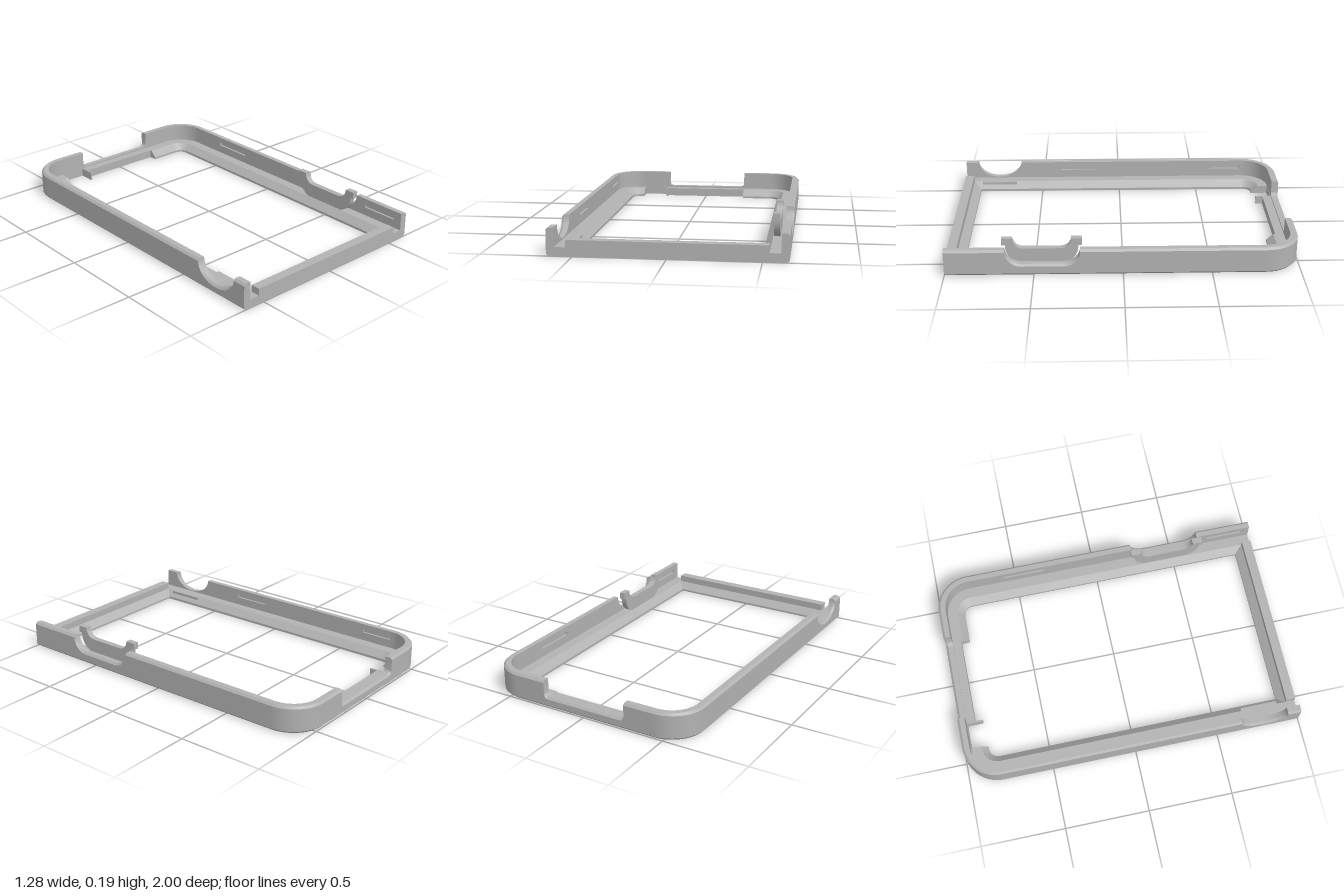
import * as THREE from 'three';
import { toCreasedNormals } from 'three/addons/utils/BufferGeometryUtils.js';

const W = 0.64, R = 0.2, TOP = 0.155, EPS = 1e-4;
const inside = (v, a, b) => v > a && v < b;

// Height of a U-shaped cut with rounded lower corners
function uCut(v, a, b, bottom, r, top) {
  if (!inside(v, a, b)) return top;
  const d = Math.min(v - a, b - v);
  return d >= r ? bottom : Math.min(top, bottom + r - Math.sqrt(r * r - (r - d) ** 2));
}

// Cross-section values: wall height h, ledge end f, bevel end e, slot depth g
function leftSide(z) {
  const slot = inside(z, -0.57, -0.32) || inside(z, 0.73, 0.95);
  return { h: uCut(z, 0.24, 0.66, 0.067, 0.09, TOP), f: 0.105, e: 0.145, g: slot ? 0.03 : 0.043 };
}
function rightSide(z) {
  const slot = inside(z, 0.15, 0.38) || inside(z, -0.79, -0.6);
  const u = (z - 0.78) / 0.14;
  const h = Math.abs(u) < 1 ? TOP - 0.1 * Math.sqrt(1 - u * u) : TOP;
  return { h, f: 0.105, e: 0.145, g: slot ? 0.03 : 0.043 };
}
function backSide(x) {
  const s = { h: uCut(x, -0.26, 0.26, 0.06, 0.025, TOP), f: 0.105, e: 0.145, g: 0.043 };
  if (inside(x, -0.26, 0.26)) s.f = s.e = 0.095;
  if (inside(x, -0.425, -0.26)) s.f = s.e = 0.045;
  return s;
}

// Closed profile as [distance inward, height]
function profile({ h, f, e, g }) {
  const c = 0.012, w = 0.043;
  return [[c, 0], [0, c], [0, h - c], [c, h], [w, h], [w, 0.12], [g, 0.12], [g, 0.1], [w, 0.1],
    [w, 0.05], [f, 0.05], [e, f === e ? 0.05 : 0.012], [e, 0]].map(([d, y]) => [d, Math.min(y, h)]);
}

// Sorted sample positions, doubled at every break so steps stay sharp
function samples(breaks, curves) {
  const out = [];
  breaks.forEach((b) => out.push(b - EPS, b + EPS));
  curves.forEach(([a, b]) => {
    for (let i = 1; i < 24; i++) out.push((a + b) / 2 - (b - a) / 2 * Math.cos(Math.PI * i / 24));
  });
  return out.sort((a, b) => a - b);
}

function frameGeometry() {
  const rings = [];
  const add = (x, z, nx, nz, s) =>
    rings.push(profile(s).map(([d, y]) => [x + nx * d, y, z + nz * d]));
  const corner = (side, a0) => {
    for (let i = 0; i <= 14; i++) {
      const a = a0 + Math.PI / 2 * i / 14, cx = Math.cos(a), cz = -Math.sin(a);
      add(side * (W - R) + R * cx, -1 + R + R * cz, -cx, -cz, { h: TOP, f: 0.105, e: 0.145, g: 0.043 });
    }
  };
  // Left arm, back and right arm joined by rounded corners
  const left = samples([-0.57, -0.32, 0.24, 0.66, 0.73, 0.95], [[0.24, 0.66]]).reverse();
  [1, ...left].forEach((z) => add(W, z, -1, 0, leftSide(z)));
  corner(1, 0);
  samples([-0.425, -0.26, 0.26], [[-0.26, 0.26], [-0.26, -0.21], [0.21, 0.26]]).reverse()
    .forEach((x) => add(x, -1, 0, 1, backSide(x)));
  corner(-1, Math.PI / 2);
  const right = samples([-0.79, -0.6, 0.15, 0.38, 0.64, 0.92], [[0.64, 0.92]]);
  [...right, 1].forEach((z) => add(-W, z, 1, 0, rightSide(z)));

  const pos = [], n = rings[0].length;
  for (let i = 0; i < rings.length - 1; i++) {
    for (let j = 0; j < n; j++) {
      const a = rings[i][j], b = rings[i][(j + 1) % n];
      const c = rings[i + 1][j], d = rings[i + 1][(j + 1) % n];
      pos.push(...a, ...c, ...b, ...c, ...d, ...b);
    }
  }
  // Flat front ends
  [rings[0], rings[rings.length - 1]].forEach((ring) => {
    const pts = ring.map((p) => new THREE.Vector2(p[0], p[1]));
    THREE.ShapeUtils.triangulateShape(pts, []).forEach((t) => {
      const [a, b, c] = t.map((k) => pts[k]);
      const ccw = (b.x - a.x) * (c.y - a.y) - (b.y - a.y) * (c.x - a.x) > 0;
      (ccw ? t : [t[0], t[2], t[1]]).forEach((k) => pos.push(...ring[k]));
    });
  });
  const geo = new THREE.BufferGeometry();
  geo.setAttribute('position', new THREE.Float32BufferAttribute(pos, 3));
  return toCreasedNormals(geo, 0.4);
}

// Extrudes a (z, y) outline along x, from x0 to x1
function sideExtrude(shape, x0, x1) {
  const geo = new THREE.ExtrudeGeometry(shape, { depth: x1 - x0, bevelEnabled: false, curveSegments: 10 });
  geo.rotateY(-Math.PI / 2); // shape x -> z, depth -> -x
  geo.translate(x1, 0, 0);
  return toCreasedNormals(geo, 0.4);
}

export function createModel() {
  const group = new THREE.Group();
  const grey = new THREE.MeshStandardMaterial({ color: 0xb2b2b2, side: THREE.DoubleSide });
  grey.name = 'grey plastic';
  const add = (name, geo, x = 0, y = 0, z = 0) => {
    const mesh = new THREE.Mesh(geo, grey);
    mesh.name = name;
    mesh.position.set(x, y, z);
    group.add(mesh);
  };

  add('frame', frameGeometry());

  // Front crossbar with a bevelled inner foot
  const bar = new THREE.Shape([[1, 0], [1, 0.09], [0.945, 0.09], [0.945, 0.05], [0.9, 0.012], [0.9, 0]]
    .map(([z, y]) => new THREE.Vector2(z, y)));
  add('frontBar', sideExtrude(bar, -0.535, 0.535));

  // Upright guard plate with a U-shaped dip, behind the left cutout
  const guard = new THREE.Shape();
  guard.moveTo(0.33, 0.045);
  guard.lineTo(0.57, 0.045);
  guard.quadraticCurveTo(0.66, 0.07, 0.66, 0.155);
  guard.lineTo(0.68, 0.155);
  guard.lineTo(0.68, 0.195);
  guard.lineTo(0.62, 0.195);
  guard.absarc(0.56, 0.195, 0.06, 0, -Math.PI / 2, true);
  guard.lineTo(0.35, 0.135);
  guard.absarc(0.35, 0.195, 0.06, -Math.PI / 2, -Math.PI, true);
  guard.lineTo(0.23, 0.195);
  guard.lineTo(0.23, 0.155);
  guard.lineTo(0.25, 0.155);
  guard.quadraticCurveTo(0.25, 0.07, 0.33, 0.045);
  add('guardPlate', sideExtrude(guard, 0.54, 0.575));

  // Ledge extension by the right cutout and a small fin at the back
  add('ledgePad', new THREE.BoxGeometry(0.025, 0.04, 0.22), -0.53, 0.03, 0.78);
  add('backFin', new THREE.BoxGeometry(0.01, 0.05, 0.1), -0.267, 0.025, -0.91);
  return group;
}
